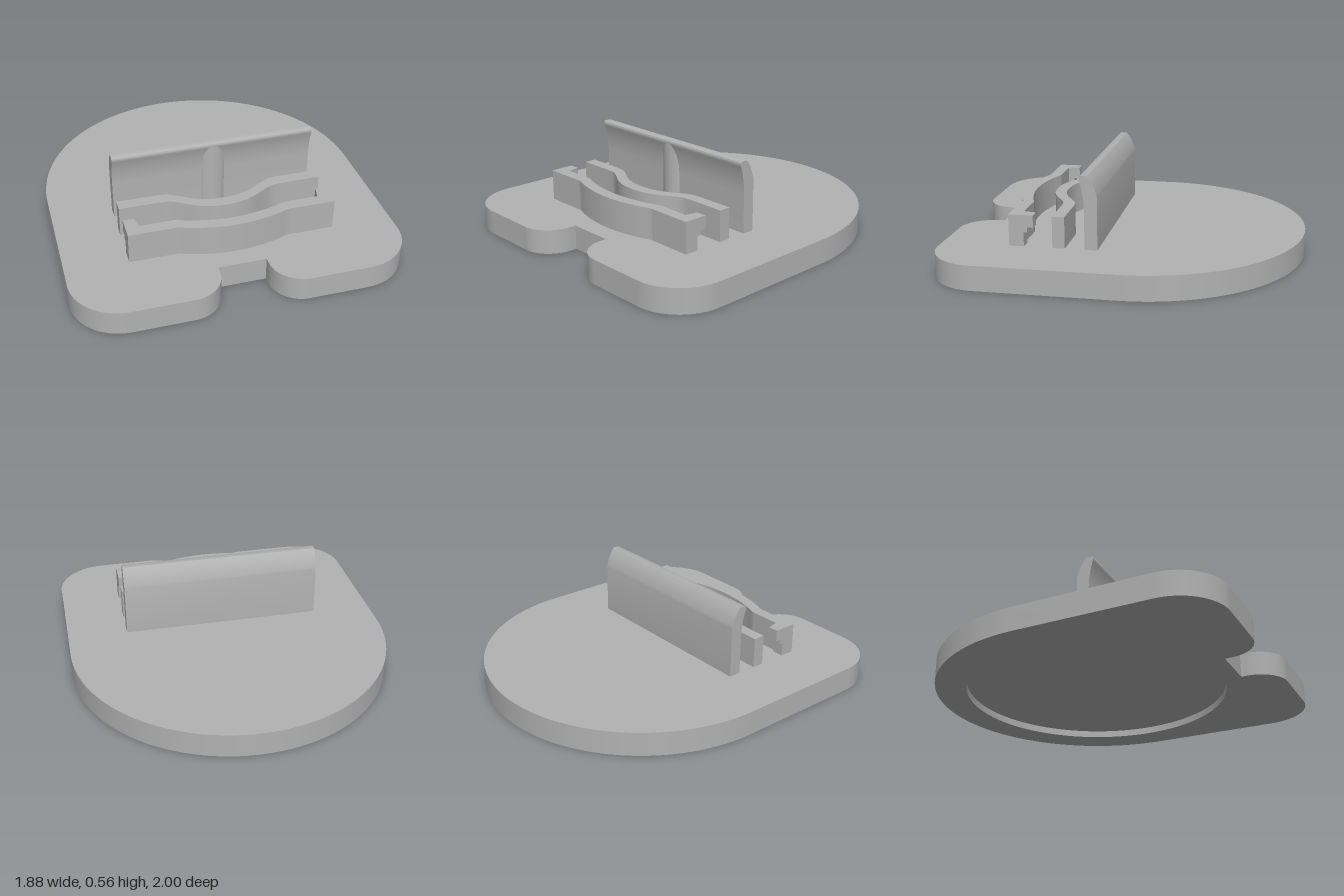
import * as THREE from 'three';
import { toCreasedNormals } from 'three/addons/utils/BufferGeometryUtils.js';

const ARC_Z = -0.06; // centre of the rounded back end
const BASE_TOP = 0.14;
const HALF_W = 0.587; // half width of the upright parts

export function createModel() {
  const group = new THREE.Group();
  group.name = 'cardStand';
  const grey = new THREE.MeshStandardMaterial({ color: 0xb2b2b2 });
  grey.name = 'plainGrey';

  const add = (name, geometry) => {
    const mesh = new THREE.Mesh(toCreasedNormals(geometry, 0.45), grey);
    mesh.name = name;
    group.add(mesh);
    return mesh;
  };

  // Extrude a footprint drawn in (x, z) between two heights
  const slab = (name, shape, y0, y1) => {
    const g = new THREE.ExtrudeGeometry(shape, { depth: y1 - y0, bevelEnabled: false, curveSegments: 48 });
    g.rotateX(Math.PI / 2);
    g.translate(0, y1, 0);
    return add(name, g);
  };

  // Base plate: round back, rounded front corners and a front notch
  const baseOutline = () => {
    const s = new THREE.Shape();
    const w = 0.94, r = 0.285, n = 0.137, nr = 0.18;
    s.absarc(0, ARC_Z, w, Math.PI, Math.PI * 2, false);
    s.lineTo(w, 1 - r);
    s.absarc(w - r, 1 - r, r, 0, Math.PI / 2, false);
    s.lineTo(n + nr, 1);
    s.absarc(n + nr, 1 - nr, nr, Math.PI / 2, Math.PI, false);
    s.lineTo(n, 0.785);
    s.lineTo(-n, 0.785);
    s.lineTo(-n, 1 - nr);
    s.absarc(-n - nr, 1 - nr, nr, 0, Math.PI / 2, false);
    s.lineTo(-w + r, 1);
    s.absarc(-w + r, 1 - r, r, Math.PI / 2, Math.PI, false);
    s.closePath();
    return s;
  };
  const rim = baseOutline();
  const recess = new THREE.Path();
  recess.absarc(0, ARC_Z, 0.76, 0, Math.PI * 2, true);
  rim.holes.push(recess);
  slab('baseRim', rim, 0, 0.04);
  slab('basePlate', baseOutline(), 0.04, BASE_TOP);

  // Back wall: side profile in (z, y), with a curved-over back and flared front lip
  const wall = new THREE.Shape();
  wall.moveTo(0.187, BASE_TOP);
  wall.lineTo(0.115, BASE_TOP);
  wall.lineTo(0.115, 0.44);
  wall.quadraticCurveTo(0.13, 0.51, 0.17, 0.555);
  wall.lineTo(0.205, 0.555);
  wall.quadraticCurveTo(0.217, 0.552, 0.215, 0.535);
  wall.quadraticCurveTo(0.189, 0.46, 0.187, 0.37);
  wall.closePath();
  const wallGeo = new THREE.ExtrudeGeometry(wall, { depth: HALF_W * 2, bevelEnabled: false, curveSegments: 12 });
  wallGeo.rotateY(-Math.PI / 2); // profile z to model z, depth along -x
  wallGeo.translate(HALF_W, 0, 0);
  add('backWall', wallGeo);

  // Rounded rib that fades into the flared lip
  const ribH = 0.54 - BASE_TOP;
  const rib = new THREE.CylinderGeometry(0.1, 0.1, ribH, 32, 1, true, -0.9, 1.8);
  rib.translate(0, BASE_TOP + ribH / 2, 0.115);
  add('wallRib', rib);

  // Upright strip following a mirrored curve, given as its left half
  const strip = (name, half, thickness) => {
    const mirrored = half.slice(0, -1).reverse().map(([x, z]) => [-x, z]);
    const bend = [...half, ...mirrored].map(([x, z]) => new THREE.Vector2(x, z));
    const line = new THREE.SplineCurve(bend).getPoints(64);
    line.unshift(new THREE.Vector2(-HALF_W, half[0][1]));
    line.push(new THREE.Vector2(HALF_W, half[0][1]));
    const front = line.map((p) => new THREE.Vector2(p.x, p.y + thickness)).reverse();
    slab(name, new THREE.Shape([...line, ...front]), BASE_TOP, 0.32);
  };
  strip('middleClip', [[-0.36, 0.298], [-0.3, 0.305], [-0.24, 0.335],
    [-0.17, 0.377], [-0.09, 0.406], [0, 0.415]], 0.07);
  strip('frontClip', [[-0.34, 0.545], [-0.31, 0.547], [-0.24, 0.57],
    [-0.16, 0.589], [-0.08, 0.601], [0, 0.605]], 0.069);

  // Stepped hooks at both ends of the front clip: [back z, bottom, top]
  const layers = [[0.53, BASE_TOP, 0.22], [0.51, 0.22, 0.25], [0.475, 0.25, 0.32]];
  for (const side of [1, -1]) {
    for (const [z, y0, y1] of layers) {
      const inner = 0.511 + (0.545 - z) * 0.2;
      const pts = [[HALF_W, z], [HALF_W, 0.55], [0.511, 0.55], [0.511, 0.545], [inner, z]];
      const shape = new THREE.Shape(pts.map(([x, pz]) => new THREE.Vector2(x * side, pz)));
      slab(side > 0 ? 'leftHook' : 'rightHook', shape, y0, y1);
    }
  }
  return group;
}
